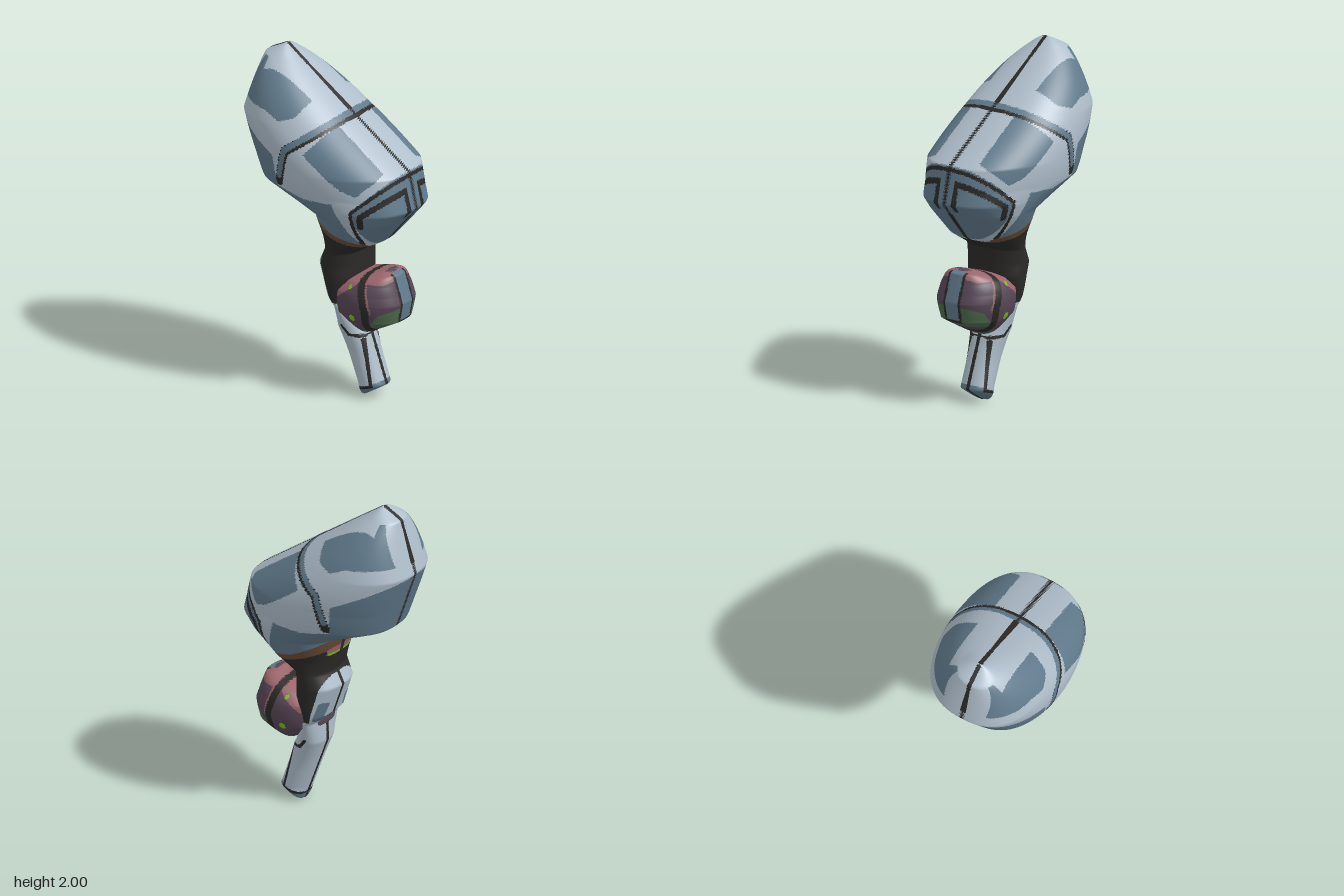
import * as THREE from 'three';

const COLORS = {
  lightPlate: 0xafbecb, slatePlate: 0x627b8d, darkTrim: 0x2b2a29, brownBand: 0x6b4b36,
  purpleShell: 0x584757, pinkPatch: 0x9a656b, greenPatch: 0x4f6c4d, limeDot: 0x7cc01c,
};
const NAMES = Object.keys(COLORS);
const { smoothstep } = THREE.MathUtils;

// Outline corners from bottom to top, as points in x and y
const path = (...p) => p.map(([x, y]) => new THREE.Vector2(x, y));
const hullLeft = path([.2, 0], [.05, .41], [.055, .55], [.01, .6], [-.055, .79], [-.01, .88], [-.07, 1.12],
  [-.42, 1.27], [-.545, 1.63], [-.45, 1.94], [-.33, 2]);
const hullRight = path([.21, 0], [.34, .08], [.24, .37], [.14, .57], [.2, .72], [.2, .88], [.35, .965],
  [.54, 1.19], [.49, 1.4], [-.33, 2]);
const podLeft = path([.24, .39], [.05, .52], [.04, .66], [.12, .72], [.36, .79]);
const podRight = path([.25, .39], [.46, .5], [.48, .61], [.43, .77], [.37, .79]);

// Half thickness at each height: dome, waist, then arm with a rounded tip
function hullDepth(y) {
  if (y > 1.4) return .37 * Math.max(0, 1 - ((y - 1.4) / .6) ** 2) ** .7;
  if (y > .87) return .19 + .18 * (1 - ((1.4 - y) / .53) ** 2) ** 1.5;
  const tip = Math.sqrt(1 - Math.max(0, 1 - y / .08) ** 2);
  return tip * (.095 + .095 * smoothstep(y, .2, .75));
}
function podDepth(y) {
  const t = (y - .61) / (y > .61 ? .18 : .22);
  return .207 * Math.max(0, 1 - t * t) ** .45;
}

// Straight interpolation along an outline
function edgeAt(points, y) {
  let i = 0;
  while (i < points.length - 2 && y > points[i + 1].y) i++;
  const a = points[i], b = points[i + 1];
  return THREE.MathUtils.lerp(a.x, b.x, Math.min(1, (y - a.y) / (b.y - a.y)));
}

// Paint rules take hundredths of a unit; later rules cover earlier ones
function area(color, ...p) {
  const test = (x, y) => {
    let inside = false;
    p.forEach(([xi, yi], i) => {
      const [xj, yj] = p.at(i - 1);
      if ((yi > y) !== (yj > y) && x < (xj - xi) * (y - yi) / (yj - yi) + xi) inside = !inside;
    });
    return inside;
  };
  return { color, test };
}
function stripe(color, half, ...p) {
  const test = (x, y) => p.slice(1).some(([bx, by], i) => {
    const [ax, ay] = p[i], dx = bx - ax, dy = by - ay;
    const t = THREE.MathUtils.clamp(((x - ax) * dx + (y - ay) * dy) / (dx * dx + dy * dy), 0, 1);
    return Math.hypot(x - ax - dx * t, y - ay - dy * t) < half;
  });
  return { color, test };
}
const dot = (color, r, cx, cy) => ({ color, test: (x, y) => Math.hypot(x - cx, y - cy) < r });
const endStrip = (color, low, half) => ({ color, test: (x, y, z) => x > 40 && y > low && Math.abs(z) < half });
// Keeps a rule off the middle of the hull, except at the far left end
const offCentre = (half, { color, test }) => ({
  color, test: (x, y, z) => (Math.abs(z) > half || x < -38) && test(x, y),
});

function bodyPaint() {
  return [
    offCentre(17, area('slatePlate', [-41, 194], [-28, 192], [-12, 185], [-4, 178], [-9, 169], [-18, 166], [-28, 170], [-50, 171])),
    area('slatePlate', [-56, 163], [-20, 146], [-18, 128], [0, 124], [19, 125], [31, 94], [-45, 125]),
    offCentre(16, area('slatePlate', [16, 170], [43, 149], [42, 140], [33, 131], [25, 134], [1, 151])),
    // seam around the middle
    stripe('darkTrim', 2.7, [17, 171], [-11, 151], [-16, 131]),
    stripe('slatePlate', 1.8, [16, 172], [-11.3, 151.6], [-15.6, 135]),
    // end cap with its arched trims
    area('slatePlate', [50, 142], [58, 119], [35, 93], [29, 121]),
    stripe('darkTrim', 1, [50, 139], [30, 121], [30, 98]),
    offCentre(5, stripe('darkTrim', 1.6, [52, 132], [35, 119], [34, 112])),
    { color: 'darkTrim', test: (x, y, z) => x > 45 && y > 115 && y < 132 && Math.abs(Math.abs(z) - 6.5) < 1.5 },
  ];
}

function neckPaint() {
  return [
    area('darkTrim', [-9, 106], [36, 93], [22, 80], [22, 68], [16, 56], [7, 57], [-2, 87]),
    area('brownBand', [-9, 113], [12, 103], [31, 97], [30, 94], [12, 99], [-9, 106]),
    dot('pinkPatch', 2.2, -5, 103),
    dot('limeDot', 1, -3.4, 101),
  ];
}

function armPaint() {
  return [
    stripe('slatePlate', 1.5, [0, 69], [4, 58]),
    stripe('darkTrim', .9, [12, 43], [16, 38], [23, 37]),
    area('slatePlate', [18, 5], [36, 12], [36, 4], [20, -2]),
    stripe('darkTrim', .9, [19, 5], [29, 8], [23, 35]),
    // ridge line along the middle of the whole hull
    { color: 'darkTrim', test: (x, y, z) => Math.abs(z) < 1.2 },
  ];
}

function podPaint() {
  return [
    area('pinkPatch', [2, 66], [12, 62], [25, 72], [29, 78], [10, 78]),
    area('pinkPatch', [27, 73], [40, 73], [48, 77], [27, 80]),
    area('greenPatch', [32, 47], [39, 56], [50, 60], [50, 46]),
    area('greenPatch', [15, 44], [34, 44], [34, 38], [15, 36]),
    stripe('pinkPatch', 2.6, [28, 75], [33, 58]),
    stripe('darkTrim', 2.2, [27, 76], [32, 58], [31, 42]),
    dot('limeDot', 1.2, 21, 70),
    dot('limeDot', 2.1, 23, 52),
    // narrow panel on the outer end
    endStrip('darkTrim', 49, 6.2),
    endStrip('slatePlate', 51, 4.6),
  ];
}

// Stacks rounded rings between two outlines and sorts the faces by colour
function inflate({ name, left, right, depth, power, base, paint, rows, cols }, materials) {
  const y0 = left[0].y, y1 = left.at(-1).y;
  const pos = [], buckets = NAMES.map(() => []);
  for (let i = 0; i <= rows; i++) {
    const y = y0 + (y1 - y0) * i / rows;
    const l = edgeAt(left, y), r = edgeAt(right, y), d = depth(y);
    for (let j = 0; j < cols; j++) {
      const a = j / cols * Math.PI * 2, s = Math.sin(a);
      pos.push((l + r) / 2 + (r - l) / 2 * Math.cos(a), y, d * Math.sign(s) * Math.abs(s) ** power);
    }
  }
  const addFace = (...f) => {
    const [x, y, z] = [0, 1, 2].map((k) => f.reduce((sum, v) => sum + pos[v * 3 + k], 0) / 3 * 100);
    const rule = paint.findLast((p) => p.test(x, y, z));
    buckets[NAMES.indexOf(rule ? rule.color : base)].push(...f);
  };
  for (let i = 0; i < rows; i++) {
    for (let j = 0; j < cols; j++) {
      const a = i * cols + j, b = i * cols + (j + 1) % cols;
      addFace(a, a + cols, b);
      addFace(b, a + cols, b + cols);
    }
  }
  const geo = new THREE.BufferGeometry();
  geo.setAttribute('position', new THREE.Float32BufferAttribute(pos, 3));
  geo.setIndex(buckets.flat());
  let start = 0;
  buckets.forEach((f, m) => {
    if (f.length) geo.addGroup(start, f.length, m);
    start += f.length;
  });
  geo.computeVertexNormals();
  const mesh = new THREE.Mesh(geo, materials);
  mesh.name = name;
  return mesh;
}

export function createModel() {
  const materials = NAMES.map((name) => {
    const m = new THREE.MeshStandardMaterial({ color: COLORS[name] });
    m.name = name;
    return m;
  });
  const group = new THREE.Group();
  group.name = 'armouredLimb';
  group.add(inflate({
    name: 'bodyNeckAndArm', left: hullLeft, right: hullRight, depth: hullDepth, power: .8,
    base: 'lightPlate', paint: [...bodyPaint(), ...neckPaint(), ...armPaint()], rows: 260, cols: 216,
  }, materials));
  group.add(inflate({
    name: 'sidePod', left: podLeft, right: podRight, depth: podDepth, power: .75,
    base: 'purpleShell', paint: podPaint(), rows: 90, cols: 140,
  }, materials));
  return group;
}
